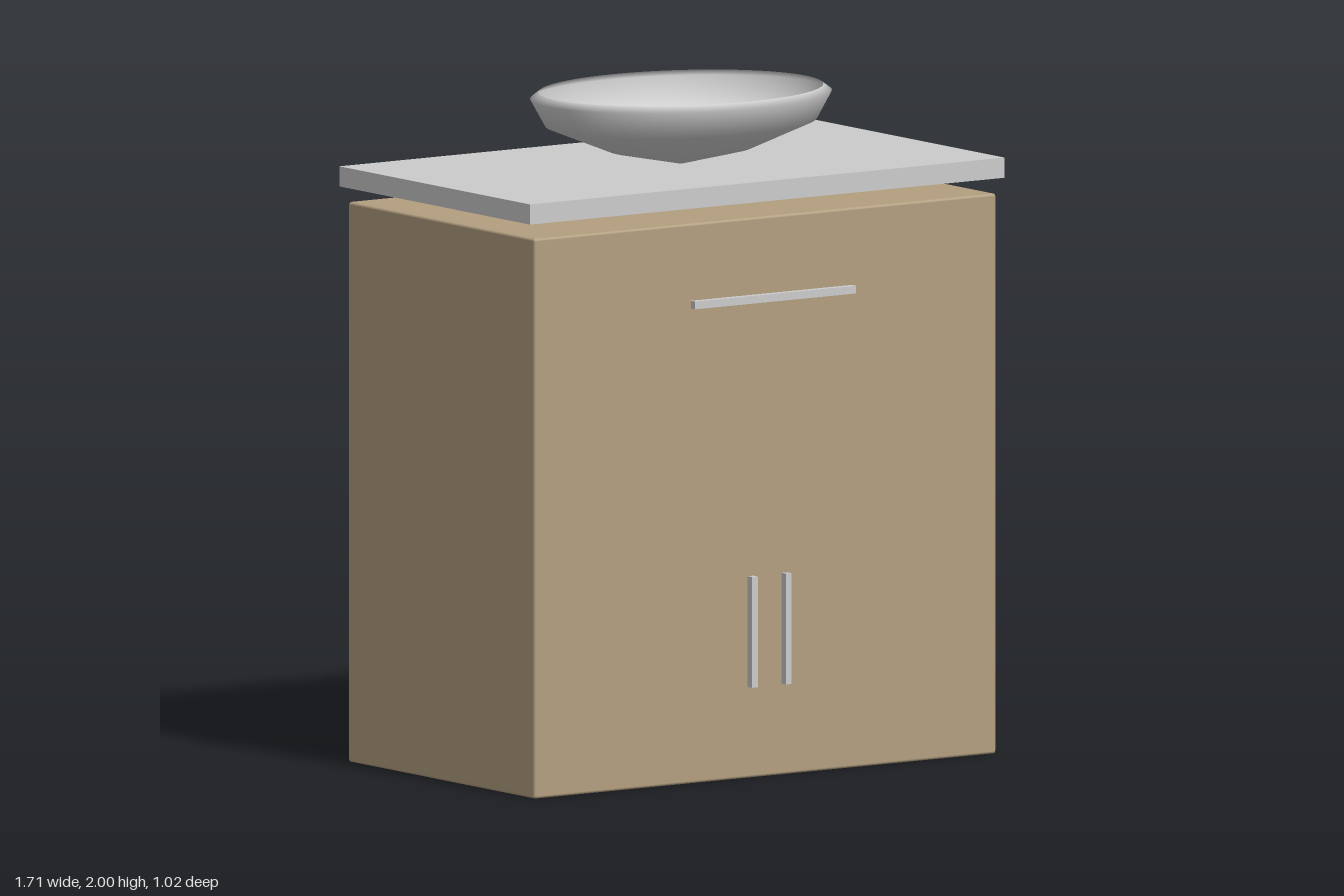
import * as THREE from 'three';
import { RoundedBoxGeometry } from 'three/addons/geometries/RoundedBoxGeometry.js';

const grey = new THREE.MeshStandardMaterial({ color: 0xcccccc });
const greyOpen = new THREE.MeshStandardMaterial({ color: 0xcccccc, side: THREE.DoubleSide });
const wood = new THREE.MeshStandardMaterial({ color: 0xb39f80 });

export function createModel() {
  const model = new THREE.Group();
  model.name = 'washbasinCabinet';

  const add = (name, geometry, material, x, y, z) => {
    const mesh = new THREE.Mesh(geometry, material);
    mesh.name = name;
    mesh.position.set(x, y, z);
    model.add(mesh);
    return mesh;
  };
  const box = (w, h, d) => new THREE.BoxGeometry(w, h, d);

  // Cabinet body with slightly softened edges
  add('cabinet', new RoundedBoxGeometry(1.664, 1.668, 0.957, 2, 0.008), wood, 0, 0.834, -0.021);

  // Countertop floating just above the cabinet
  add('countertop', box(1.71, 0.06, 0.978), grey, 0, 1.744, -0.022);

  // Drawer handle and the pair of door handles
  add('drawerHandle', box(0.58, 0.023, 0.022), grey, 0, 1.432, 0.499);
  for (const side of [-1, 1]) {
    add(side > 0 ? 'leftDoorHandle' : 'rightDoorHandle', box(0.021, 0.33, 0.022), grey, side * 0.061, 0.438, 0.479);
  }

  // Oval vessel basin: thin open shell with a turned-in rim
  const profile = [[0, 0], [0.228, 0.046], [0.43, 0.126], [0.477, 0.207], [0.45, 0.226]]
    .map(([r, y]) => new THREE.Vector2(r, y));
  const basin = add('basin', new THREE.LatheGeometry(profile, 64), greyOpen, 0, 1.774, 0.024);
  basin.scale.z = 0.781;

  return model;
}
